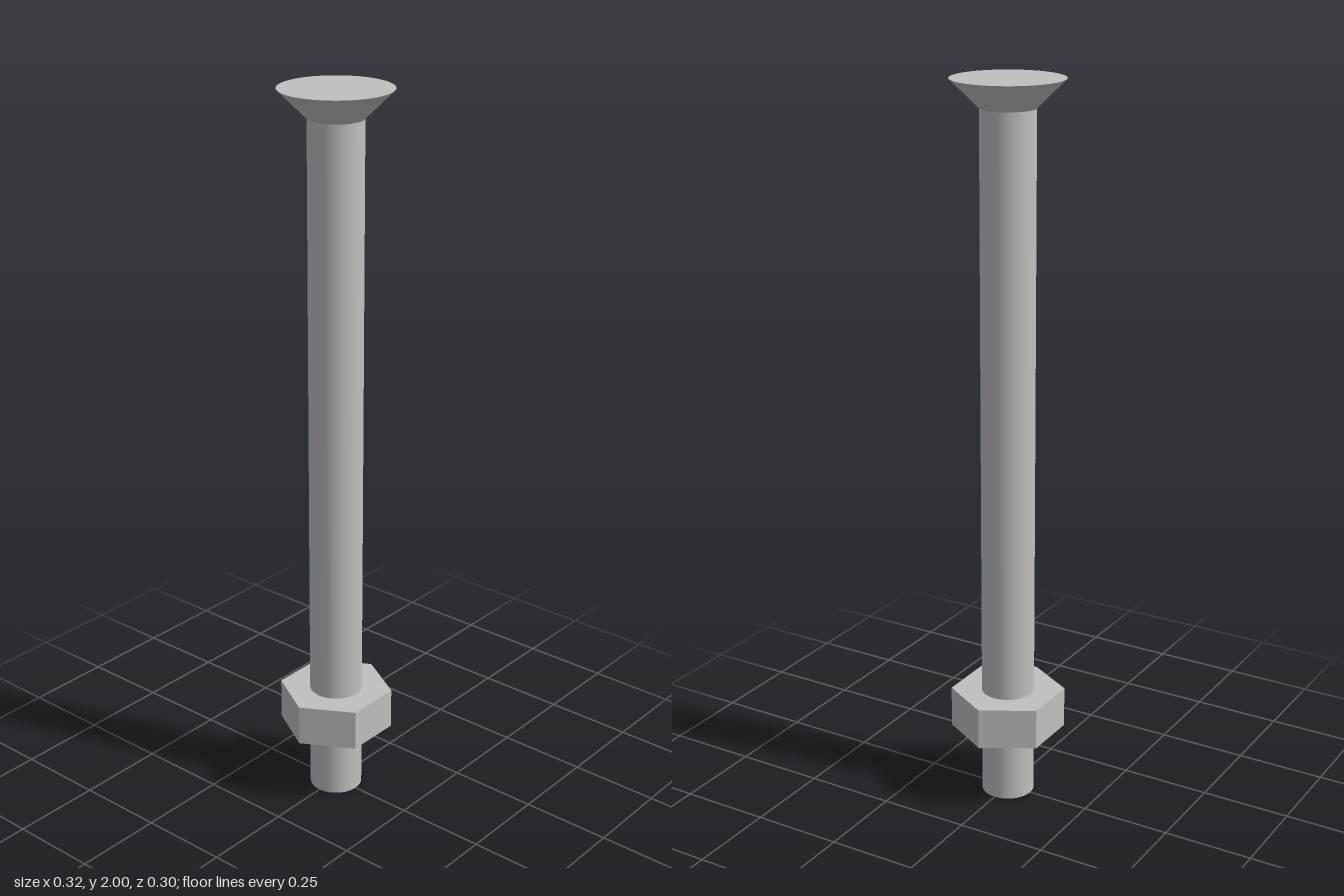
import * as THREE from 'three';

const SHAFT_R = 0.073;
const HEAD_R = 0.149;
const HEAD_Y = 1.925; // where the countersunk head starts
const NUT_R = 0.158;  // centre to corner
const NUT_Y = 0.195;
const NUT_H = 0.115;

export function createModel() {
  const steel = new THREE.MeshStandardMaterial({ color: 0xc0c0c0 });
  steel.name = 'steel grey';
  const group = new THREE.Group();
  group.name = 'boltWithNut';

  const add = (name, geometry, y) => {
    const mesh = new THREE.Mesh(geometry, steel);
    mesh.name = name;
    mesh.position.y = y;
    group.add(mesh);
    return mesh;
  };

  // Round shaft, from the ground up to the head
  add('shaft', new THREE.CylinderGeometry(SHAFT_R, SHAFT_R, HEAD_Y, 64), HEAD_Y / 2);

  // Countersunk head, flat on top
  const headH = 2 - HEAD_Y;
  add('head', new THREE.CylinderGeometry(HEAD_R, SHAFT_R, headH, 64), HEAD_Y + headH / 2);

  // Hexagonal nut with a bore, corners pointing along x
  const hexagon = new THREE.Shape();
  for (let i = 0; i < 6; i++) {
    const a = (i * Math.PI) / 3;
    hexagon[i ? 'lineTo' : 'moveTo'](NUT_R * Math.cos(a), NUT_R * Math.sin(a));
  }
  hexagon.closePath();
  const bore = new THREE.Path();
  bore.absarc(0, 0, SHAFT_R - 0.003, 0, Math.PI * 2, true);
  hexagon.holes.push(bore);
  const nut = new THREE.ExtrudeGeometry(hexagon, { depth: NUT_H, bevelEnabled: false, curveSegments: 48 });
  nut.rotateX(-Math.PI / 2);
  add('nut', nut, NUT_Y);

  return group;
}
